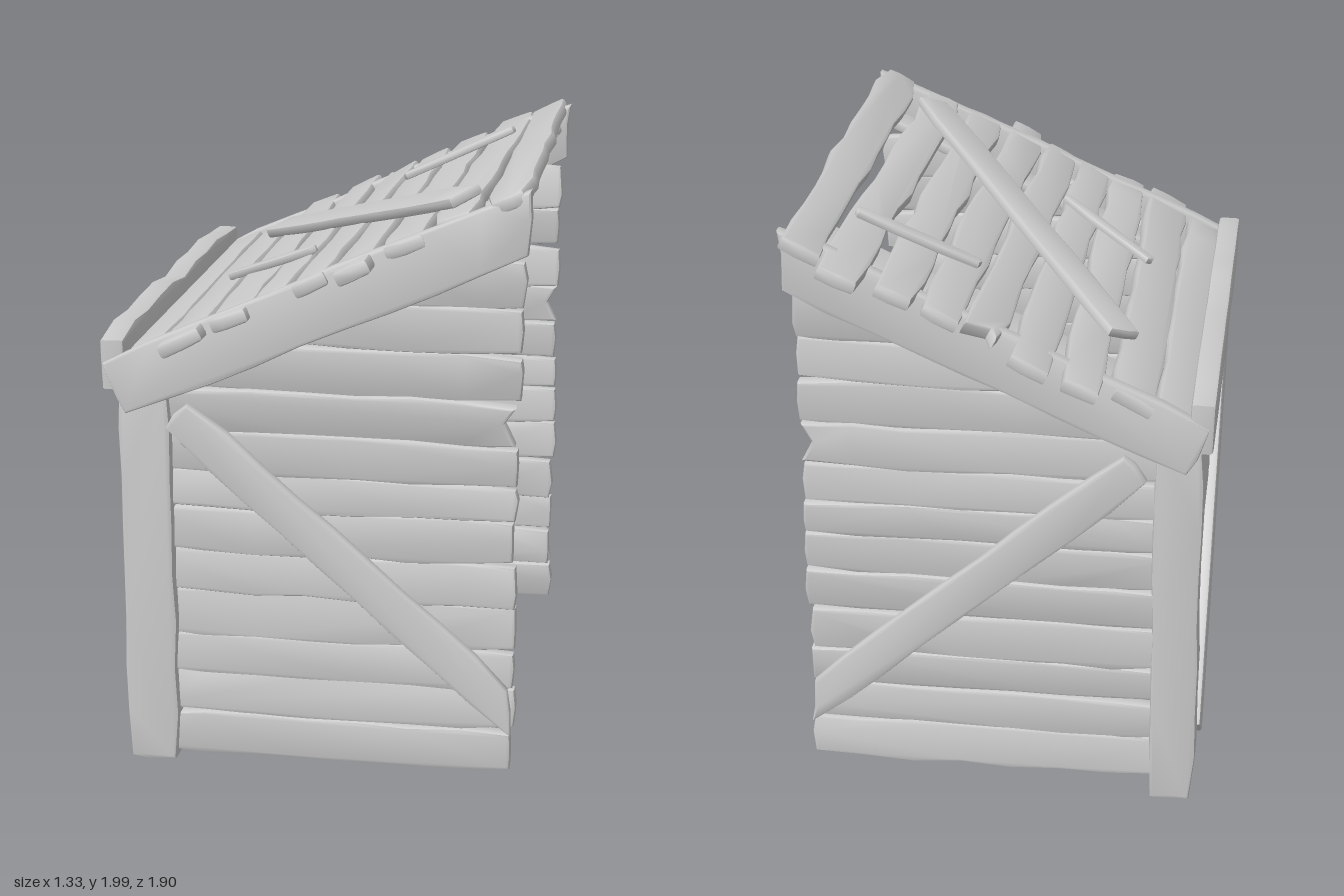
import * as THREE from 'three';
import { toCreasedNormals } from 'three/addons/utils/BufferGeometryUtils.js';

const material = new THREE.MeshStandardMaterial({ color: 0xcccccc });
const V = (x, y, z) => new THREE.Vector3(x, y, z);
const FRONT = V(0, 0, 1), SIDE = V(1, 0, 0);

// Small seeded generator, returns -1..1
let seed = 7;
function rnd() {
  seed = (seed * 16807) % 2147483647;
  return (seed / 2147483647) * 2 - 1;
}

// Rough-hewn board from a to b: wavy bevelled outline, broad face along normal.
// skew slants the cut at b; notch splits an end (-1 = a, 1 = b).
function board(parent, name, a, b, width, thick, normal, { skew = 0, notch = 0, rough = 0.007, roll = 0.03 } = {}) {
  const length = a.distanceTo(b), half = width / 2;
  const n = Math.max(3, Math.round(length / 0.16));
  const end = Math.min(0.01, width * 0.1);
  const pts = [];
  const cut = y => length + y * skew;
  for (let i = 0; i <= n; i++) {
    const t = i / n, tip = i === 0 || i === n ? end : 0;
    pts.push(new THREE.Vector2(t * cut(-half), -half + tip + rnd() * rough));
  }
  const tipB = notch === 1 ? -0.035 : 0.006 + rnd() * 0.006;
  pts.push(new THREE.Vector2(cut(0) + tipB, rnd() * half * 0.3));
  for (let i = n; i >= 0; i--) {
    const t = i / n, tip = i === 0 || i === n ? end : 0;
    pts.push(new THREE.Vector2(t * cut(half), half - tip + rnd() * rough));
  }
  const tipA = notch === -1 ? 0.05 : -0.006 + rnd() * 0.006;
  pts.push(new THREE.Vector2(tipA, rnd() * half * 0.3));

  const bevel = Math.min(0.01, thick * 0.25);
  const geo = new THREE.ExtrudeGeometry(new THREE.Shape(pts), {
    depth: thick - 2 * bevel, bevelEnabled: true, bevelThickness: bevel,
    bevelSize: bevel, bevelOffset: -bevel, bevelSegments: 2, steps: 1,
  });
  geo.translate(0, 0, -thick / 2 + bevel);
  geo.rotateX(rnd() * roll);

  const X = b.clone().sub(a).normalize();
  const Y = normal.clone().cross(X).normalize();
  const Z = X.clone().cross(Y);
  geo.applyMatrix4(new THREE.Matrix4().makeBasis(X, Y, Z).setPosition(a));
  const mesh = new THREE.Mesh(toCreasedNormals(geo, 0.7), material);
  mesh.name = name;
  parent.add(mesh);
}

function group(parent, name) {
  const g = new THREE.Group();
  g.name = name;
  parent.add(g);
  return g;
}

// Roof plane, rising towards +x
const SLOPE = 0.46;
const ROOF_N = V(-SLOPE, 1, 0).normalize();
const onRoof = (x, z, off = 0) => V(x, 1.675 + SLOPE * x, z).addScaledVector(ROOF_N, off);

export function createModel() {
  seed = 7;
  const model = new THREE.Group();
  model.name = 'leanToShed';

  // Heights of the gaps between wall boards
  const rows = [0.09, 0.23, 0.37, 0.5, 0.65, 0.79, 0.93, 1.05, 1.18, 1.32, 1.47, 1.61, 1.77];

  // Two side walls, each with a diagonal brace and a sloping top board
  for (const s of [1, -1]) {
    const wall = group(model, s > 0 ? 'frontWall' : 'backWall');
    const z = s > 0 ? 0.785 : -0.725;
    for (let i = 0; i < rows.length - 1; i++) {
      const y = (rows[i] + rows[i + 1]) / 2;
      const x0 = Math.max(-0.52, (y - 1.56) / SLOPE - 0.02);
      board(wall, 'wallBoard', V(x0, y + rnd() * 0.005, z + rnd() * 0.008),
        V(0.64 + rnd() * 0.008, y + rnd() * 0.005, z + rnd() * 0.008),
        rows[i + 1] - rows[i] + 0.006, 0.05, FRONT, { notch: i === 8 ? 1 : 0, roll: 0.15 });
    }
    const out = z + s * 0.045;
    board(wall, 'diagonalBrace', V(-0.42, 1.24, out), V(0.635, 0.31, out), 0.13, 0.04, FRONT,
      { skew: -0.88, rough: 0.004 });
    // Top board leans out at its low end, clear of the post
    const low = s > 0 ? 0.85 : -0.785, high = s > 0 ? 0.83 : -0.785;
    board(wall, 'slopingTopBoard', V(-0.61, 1.325, low), V(0.665, 1.89, high), 0.19, 0.05, FRONT,
      { skew: 0.445, rough: 0.005 });
  }

  // Corner posts
  board(model, 'cornerPost', V(-0.525, 0.065, 0.79), V(-0.525, 1.35, 0.79), 0.17, 0.1, FRONT, { rough: 0.005 });
  board(model, 'cornerPost', V(-0.555, 0.01, -0.69), V(-0.55, 1.35, -0.69), 0.15, 0.14, FRONT, { rough: 0.005 });

  // Low end wall with its brace
  const endWall = group(model, 'lowEndWall');
  for (let i = 0; i < 9; i++) {
    const y = (rows[i] + rows[i + 1]) / 2;
    board(endWall, 'wallBoard', V(-0.575 + rnd() * 0.008, y + rnd() * 0.006, -0.7),
      V(-0.575 + rnd() * 0.008, y + rnd() * 0.006, 0.78), rows[i + 1] - rows[i] + 0.004, 0.045, SIDE, { roll: 0.15 });
  }
  board(endWall, 'diagonalBrace', V(-0.62, 1.25, 0.68), V(-0.62, 0.09, -0.45), 0.13, 0.04, SIDE, { rough: 0.004 });

  // Eave board and the short strips hanging below it
  board(model, 'eaveBoard', V(-0.62, 1.405, -0.8), V(-0.62, 1.405, 0.84), 0.18, 0.075, SIDE, { rough: 0.012 });
  for (const [z, len] of [[0.6, 0.13], [0.08, 0.2], [-0.43, 0.2]])
    board(model, 'hangingStrip', V(-0.615, 1.4, z), V(-0.615, 1.35 - len, z), 0.055, 0.03, SIDE, { rough: 0.004 });

  // Rafters under the roof
  for (const [z, w] of [[0.565, 0.12], [-0.605, 0.16]])
    board(model, 'rafter', onRoof(-0.58, z, -0.04), onRoof(0.62, z, -0.04), w, 0.035, ROOF_N, { rough: 0.004 });

  // Roof boards: x at far end, x at near end, z range, width, notched end
  const roof = group(model, 'roof');
  [
    [-0.53, -0.525, -0.78, 0.83, 0.13, 0],
    [-0.41, -0.385, -0.82, 0.93, 0.15, 0],
    [-0.25, -0.24, -0.92, 0.9, 0.135, 0],
    [-0.1, -0.115, -0.93, 0.83, 0.13, 0],
    [0.05, 0.005, -0.87, 0.87, 0.125, -1],
    [0.175, 0.14, -0.87, 0.94, 0.13, 0],
    [0.31, 0.29, -0.88, 0.86, 0.135, 0],
    [0.465, 0.435, -0.94, 0.83, 0.13, 0],
    [0.59, 0.6, -0.87, 0.85, 0.135, 0],
  ].forEach(([xa, xb, z0, z1, w, notch]) =>
    board(roof, 'roofBoard', onRoof(xa, z0, rnd() * 0.005), onRoof(xb, z1, rnd() * 0.005), w, 0.045, ROOF_N,
      { notch, rough: 0.009, roll: 0.08 }));

  // Loose boards nailed across the top
  board(roof, 'crossBoard', onRoof(-0.33, -0.47, 0.04), onRoof(0.47, 0.66, 0.04), 0.13, 0.035, ROOF_N, { rough: 0.004 });
  board(roof, 'patchStrip', onRoof(0.13, -0.45, 0.035), onRoof(0.5, -0.49, 0.035), 0.05, 0.025, ROOF_N, { rough: 0.003 });
  board(roof, 'patchStrip', onRoof(-0.36, 0.21, 0.035), onRoof(-0.05, 0.4, 0.035), 0.05, 0.025, ROOF_N, { rough: 0.003 });

  return model;
}
